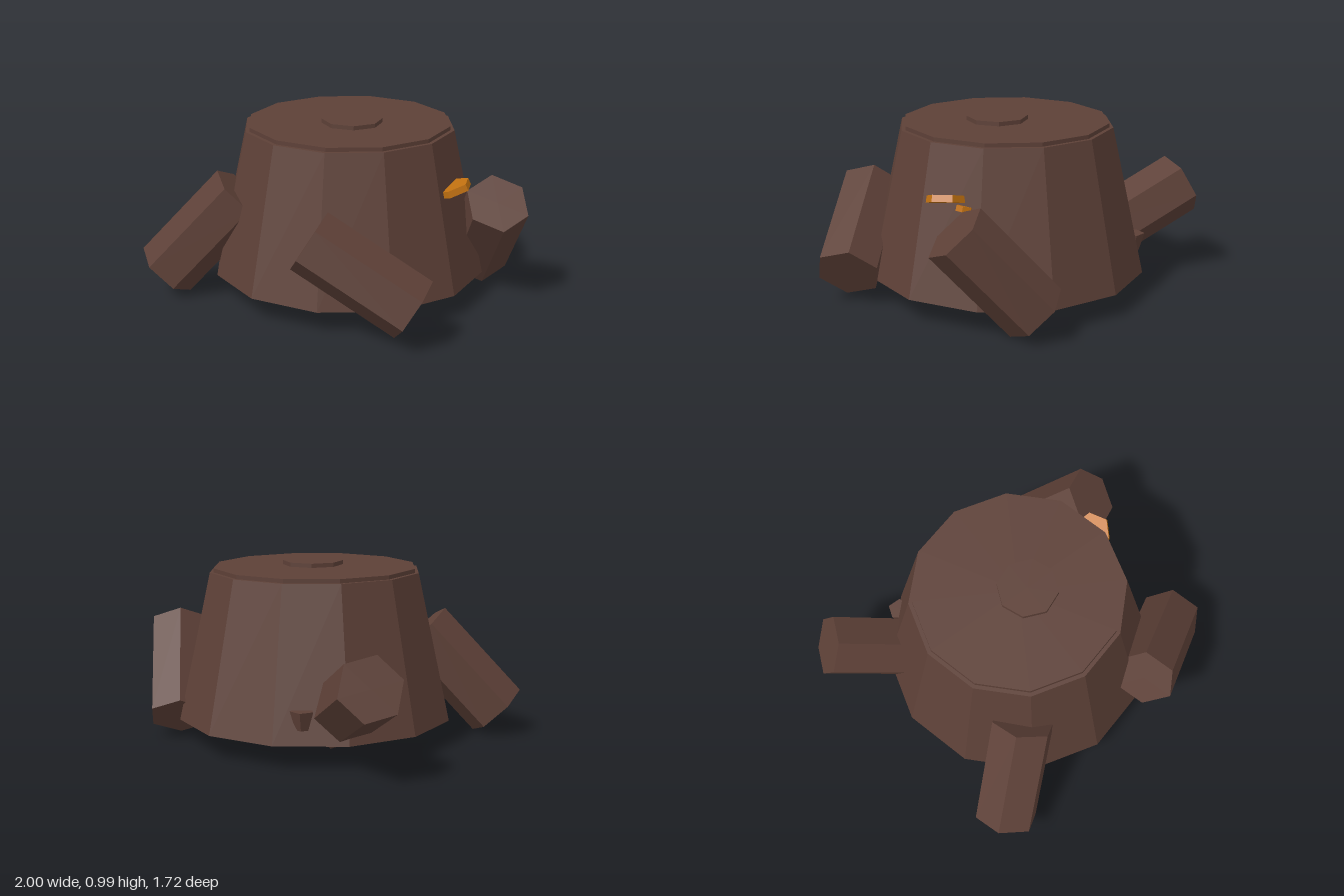
import * as THREE from 'three';

export function createModel() {
  const model = new THREE.Group();
  model.name = 'treeStump';
  const bark = new THREE.MeshStandardMaterial({ name: 'bark brown', color: 0x5d4037, flatShading: true });
  const orange = new THREE.MeshStandardMaterial({ name: 'fungus orange', color: 0xc07010, flatShading: true });

  // Upright faceted cylinder between two heights
  function drum(name, material, rTop, rBottom, y0, y1, sides, x, z) {
    const mesh = new THREE.Mesh(new THREE.CylinderGeometry(rTop, rBottom, y1 - y0, sides), material);
    mesh.position.set(x, (y0 + y1) / 2, z);
    mesh.name = name;
    model.add(mesh);
    return mesh;
  }

  // Hexagonal root between two end centres, with one corner turned towards `corner`
  function root(name, from, to, corner) {
    const a = new THREE.Vector3(...from), b = new THREE.Vector3(...to);
    const axis = b.clone().sub(a);
    const length = axis.length();
    axis.normalize();
    const z = new THREE.Vector3(...corner);
    z.addScaledVector(axis, -z.dot(axis)).normalize();
    const x = axis.clone().cross(z);
    const mesh = new THREE.Mesh(new THREE.CylinderGeometry(0.179, 0.179, length, 6), bark);
    mesh.quaternion.setFromRotationMatrix(new THREE.Matrix4().makeBasis(x, axis, z));
    mesh.position.copy(a).add(b).multiplyScalar(0.5);
    mesh.name = name;
    model.add(mesh);
  }

  // Trunk, cut face and heartwood
  drum('trunk', bark, 0.59, 0.77, 0.13, 0.945, 12, 0.057, -0.095);
  drum('cutFace', bark, 0.568, 0.568, 0.925, 0.967, 12, 0.057, -0.095);
  drum('heartwood', bark, 0.168, 0.168, 0.95, 0.99, 8, 0.102, -0.07);

  // Roots
  root('frontRightRoot', [-0.615, 0.125, 0.697], [-0.285, 0.59, 0.417], [-0.105, 0.12, 0.077]);
  root('frontLeftRoot', [0.88, 0.195, 0.315], [0.415, 0.53, 0.6], [0.115, 0.105, 0.085]);
  root('backLeftRoot', [0.52, 0.125, -0.7], [0.84, 0.575, -0.44], [-0.11, 0.125, -0.085]);
  root('backRightRoot', [-0.89, 0.5, -0.615], [-0.38, 0.225, -0.35], [-0.107, -0.115, 0.075]);

  // Small broken twig low on the back
  drum('twigStub', bark, 0.065, 0.035, 0.21, 0.31, 5, -0.415, -0.63);

  // Bracket fungi on the side
  drum('largeFungus', orange, 0.105, 0.11, 0.655, 0.692, 6, 0.68, -0.235).rotation.set(0.05, Math.PI / 6, 0.3);
  drum('smallFungus', orange, 0.045, 0.045, 0.62, 0.65, 6, 0.655, -0.335).rotation.z = 0.3;

  return model;
}
